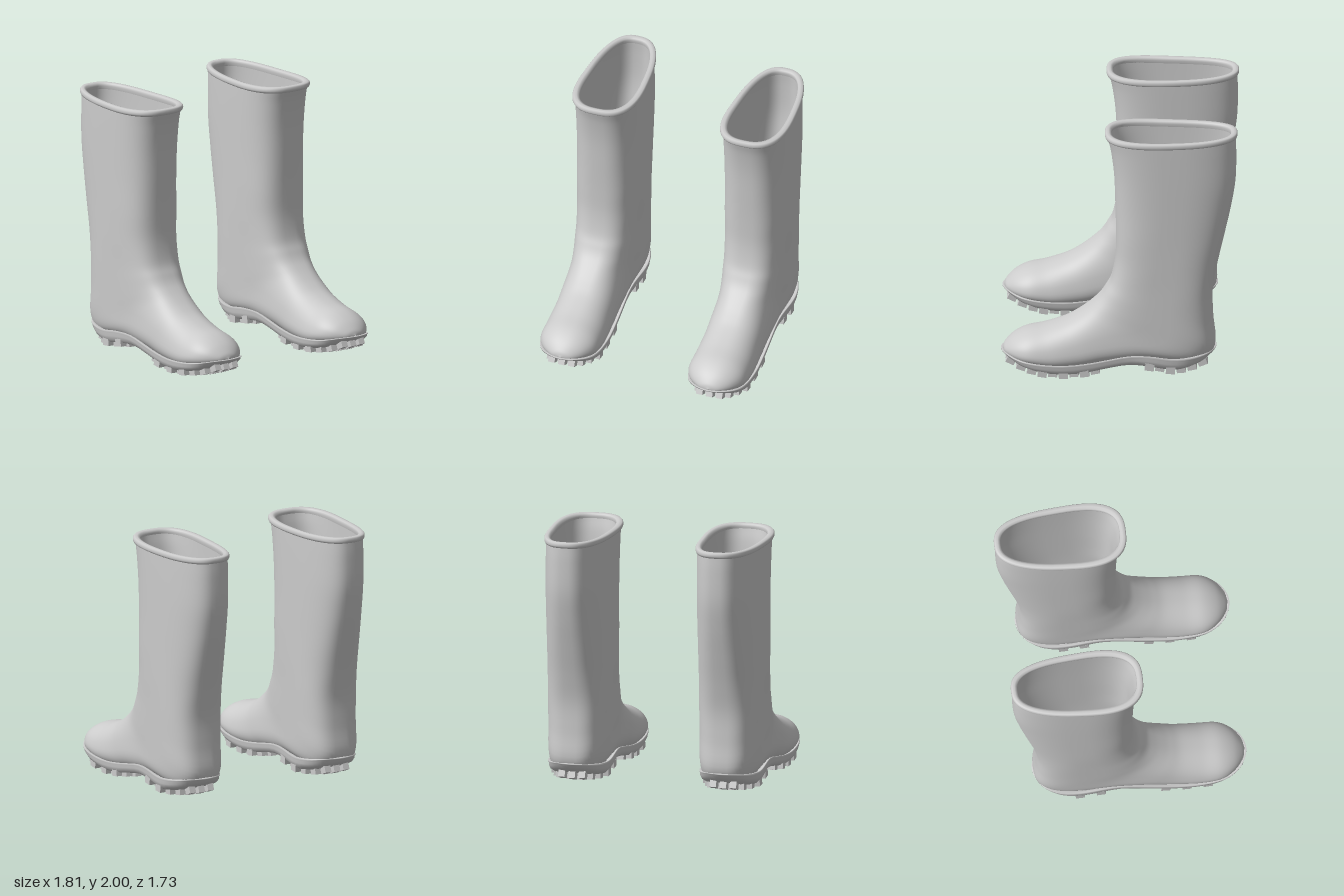
import * as THREE from 'three';

const SIDES = 64;
const material = new THREE.MeshStandardMaterial({ color: 0xcccccc, side: THREE.DoubleSide });

// Skin a list of closed rings (arrays of Vector3) with smooth normals
function loft(rings, flip = false) {
  const n = rings[0].length, pos = [], index = [];
  rings.forEach(r => r.forEach(p => pos.push(p.x, p.y, p.z)));
  for (let i = 0; i < rings.length - 1; i++) {
    for (let j = 0; j < n; j++) {
      const a = i * n + j, b = i * n + (j + 1) % n, c = a + n, d = b + n;
      if (flip) index.push(a, c, b, b, c, d);
      else index.push(a, b, c, b, d, c);
    }
  }
  const g = new THREE.BufferGeometry();
  g.setAttribute('position', new THREE.Float32BufferAttribute(pos, 3));
  g.setIndex(index);
  g.computeVertexNormals();
  return g;
}

// Boot sections fan from the shaft top to the toe:
// front/instep x y, back/sole x y, half width, taper, roundness exponent
const sections = [
  [0.09, 1.97, -0.895, 1.97, 0.24, 0.15, 2.7],
  [0.06, 1.85, -0.9, 1.83, 0.24, 0.15, 2.7],
  [0.035, 1.65, -0.895, 1.6, 0.24, 0.14, 2.7],
  [0.025, 1.4, -0.86, 1.38, 0.24, 0.12, 2.7],
  [0.02, 1.15, -0.81, 1.15, 0.24, 0.1, 2.8],
  [0.025, 0.95, -0.755, 0.9, 0.24, 0.05, 2.8],
  [0.055, 0.78, -0.72, 0.68, 0.237, 0, 3],
  [0.1, 0.69, -0.725, 0.45, 0.235, 0, 3],
  [0.14, 0.63, -0.735, 0.22, 0.233, 0, 3],
  [0.19, 0.58, -0.6, 0.12, 0.23, -0.05, 3],
  [0.25, 0.53, -0.25, 0.14, 0.225, -0.1, 2.8],
  [0.32, 0.48, 0.05, 0.11, 0.225, -0.13, 2.6],
  [0.41, 0.43, 0.27, 0.07, 0.225, -0.16, 2.5],
  [0.56, 0.378, 0.5, 0.06, 0.23, -0.2, 2.4],
  [0.7, 0.345, 0.68, 0.09, 0.222, -0.2, 2.3],
  [0.8, 0.295, 0.79, 0.12, 0.17, -0.15, 2.2],
  [0.865, 0.235, 0.865, 0.155, 0.085, -0.1, 2],
  [0.885, 0.195, 0.885, 0.185, 0.005, 0, 2],
];
const curve = f => new THREE.CatmullRomCurve3(sections.map(f), false, 'catmullrom', 0.5);
const frontCurve = curve(s => new THREE.Vector3(s[0], s[1], 0));
const backCurve = curve(s => new THREE.Vector3(s[2], s[3], 0));
const shapeCurve = curve(s => new THREE.Vector3(s[4], s[5], s[6]));

// One ring of the boot at t (0 shaft top, 1 toe), grown or shrunk by offset
function sectionRing(t, offset = 0, lift = 0) {
  const f = frontCurve.getPoint(t), b = backCurve.getPoint(t);
  const { x: width, y: taper, z: n } = shapeCurve.getPoint(t);
  const mid = f.clone().add(b).multiplyScalar(0.5);
  const axis = f.clone().sub(b);
  const half = Math.max(axis.length() / 2 + offset, 0.002);
  const w = Math.max(width + offset, 0.002);
  axis.normalize();
  const power = v => Math.sign(v) * Math.abs(v) ** (2 / n);
  return Array.from({ length: SIDES }, (_, j) => {
    const a = j / SIDES * Math.PI * 2;
    const u = power(Math.cos(a));
    const p = mid.clone().addScaledVector(axis, u * half);
    p.y += lift;
    p.z = w * power(Math.sin(a)) * (1 + taper * u);
    return p;
  });
}

// Smooth height along the boot from evenly spaced values
function heightAlong(values) {
  const c = new THREE.SplineCurve(values.map((y, i) => new THREE.Vector2(i, y)));
  return x => c.getPoint(THREE.MathUtils.clamp((x + 0.75) / 1.65, 0, 1)).y;
}
const soleTop = heightAlong([0.215, 0.19, 0.18, 0.2, 0.2, 0.17, 0.14, 0.125, 0.13, 0.15, 0.185]);
const soleBottom = heightAlong([0.15, 0.09, 0.07, 0.095, 0.11, 0.085, 0.05, 0.035, 0.045, 0.08, 0.15]);

// Sole outline seen from above
const halfOutline = [[0.9, 0], [0.875, 0.095], [0.81, 0.175], [0.7, 0.228], [0.5, 0.246], [0.2, 0.235],
  [-0.1, 0.225], [-0.35, 0.238], [-0.55, 0.222], [-0.68, 0.155], [-0.735, 0.07], [-0.75, 0]];
const outlinePoints = [...halfOutline, ...halfOutline.slice(1, -1).reverse().map(([x, z]) => [x, -z])]
  .map(([x, z]) => new THREE.Vector3(x, 0, z));
const outline = new THREE.CatmullRomCurve3(outlinePoints, true, 'centripetal').getPoints(88).slice(0, -1);

function soleWidth(x) {
  return outline.reduce((best, p) => Math.abs(p.x - x) < Math.abs(best.x - x) && p.z >= 0 ? p : best).z;
}

function soleGeometry() {
  // scale of the outline, depth from top edge to bottom
  const profile = [[0.9, 0], [0.98, -0.08], [1, -0.04], [1, 0.08], [0.985, 0.15], [0.985, 0.35],
    [0.95, 0.62], [0.87, 0.83], [0.65, 0.94], [0.35, 0.98], [0.001, 1]];
  return loft(profile.map(([s, depth]) => outline.map(p => {
    const x = 0.08 + (p.x - 0.08) * s;
    return new THREE.Vector3(x, THREE.MathUtils.lerp(soleTop(x), soleBottom(x), depth), p.z * s);
  })));
}

// Staggered tread blocks under the heel and the ball of the foot
function makeTread() {
  const tread = new THREE.Group();
  tread.name = 'tread';
  const block = new THREE.BoxGeometry(0.07, 0.06, 0.052);
  for (const [start, end] of [[-0.64, -0.24], [0.18, 0.84]]) {
    let row = 0;
    for (let x = start; x <= end; x += 0.08, row++) {
      const w = soleWidth(x);
      for (let k = -3; k <= 3; k++) {
        const z = (k + (row % 2) / 2) * 0.08;
        if (Math.abs(z) > w * 0.87) continue;
        const lug = new THREE.Mesh(block, material);
        lug.name = 'treadBlock';
        const curl = 0.3 * (z / w) ** 2;
        lug.position.set(x, THREE.MathUtils.lerp(soleBottom(x), soleTop(x), curl) - 0.003, z);
        lug.rotation.z = Math.atan2(soleBottom(x + 0.04) - soleBottom(x - 0.04), 0.08);
        tread.add(lug);
      }
    }
  }
  return tread;
}

function makeBoot() {
  const boot = new THREE.Group();
  const add = (name, geometry) => {
    const mesh = new THREE.Mesh(geometry, material);
    mesh.name = name;
    boot.add(mesh);
  };
  const steps = Array.from({ length: 91 }, (_, i) => i / 90);
  add('upper', loft(steps.map(t => sectionRing(t))));
  add('lining', loft(steps.map(t => sectionRing(t, -0.03)), true));

  // Rolled rim around the opening: offset, lift
  const rim = [[-0.004, -0.02], [0.01, -0.012], [0.015, 0], [0.014, 0.018], [0.006, 0.028],
    [-0.015, 0.03], [-0.032, 0.024], [-0.036, 0.005], [-0.03, -0.02]];
  add('rim', loft(rim.map(([offset, lift]) => {
    const ring = sectionRing(0, offset, lift);
    ring.forEach(p => { p.y -= 0.014 * (1 - ((p.x + 0.4) / 0.5) ** 2); });
    return ring;
  }), true));

  add('sole', soleGeometry());
  boot.add(makeTread());
  return boot;
}

export function createModel() {
  const model = new THREE.Group();
  model.name = 'rubberBoots';
  const left = makeBoot();
  left.name = 'frontBoot';
  left.position.z = 0.6;
  const right = left.clone();
  right.name = 'backBoot';
  right.position.z = -0.6;
  model.add(left, right);
  return model;
}
